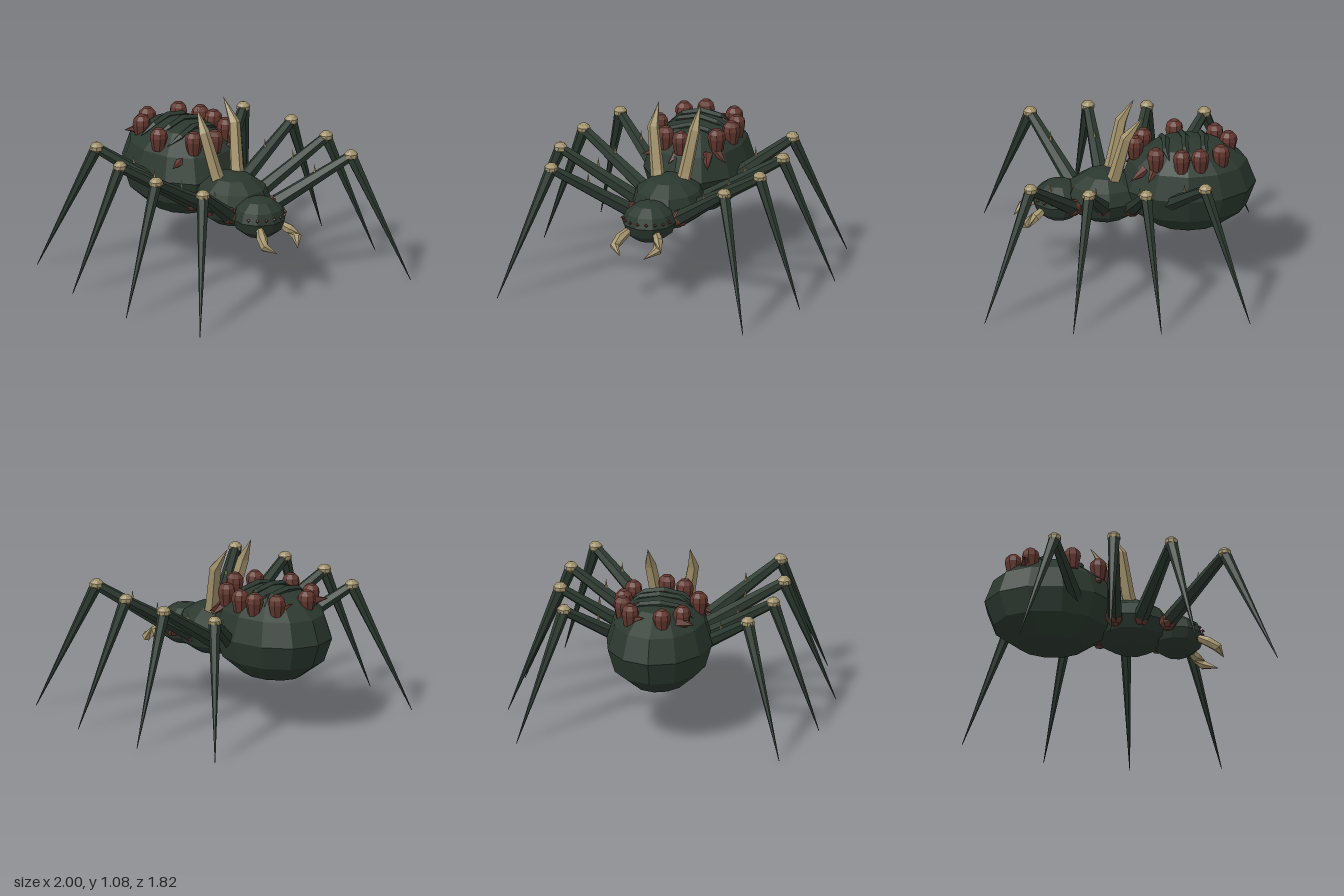
import * as THREE from 'three';

const mat = (name, color) => new THREE.MeshStandardMaterial({ name, color, flatShading: true });

export function createModel() {
  const root = new THREE.Group();
  root.name = 'spider';
  const green = mat('dark green hide', 0x2b382f);
  const red = mat('dull red growth', 0x62372f);
  const bone = mat('bone', 0xa3936c);
  const V = (a) => new THREE.Vector3(...a);

  const add = (parent, name, geo, material, pos = [0, 0, 0]) => {
    const m = new THREE.Mesh(geo, material);
    m.name = name;
    m.position.set(...pos);
    parent.add(m);
    return m;
  };

  // faceted limb: rings of given radius along a path of points
  const sweep = (pts, radii, sides = 6) => {
    const p = pts.map(V), pos = [], idx = [];
    p.forEach((c, i) => {
      const t = p[Math.min(i + 1, p.length - 1)].clone().sub(p[Math.max(i - 1, 0)]).normalize();
      const ref = Math.abs(t.z) > 0.9 ? new THREE.Vector3(1, 0, 0) : new THREE.Vector3(0, 0, 1);
      const u = ref.cross(t).normalize();
      const v = t.clone().cross(u);
      for (let j = 0; j < sides; j++) {
        const a = (j / sides) * Math.PI * 2;
        const q = c.clone().addScaledVector(u, radii[i] * Math.cos(a)).addScaledVector(v, radii[i] * Math.sin(a));
        pos.push(q.x, q.y, q.z);
        if (i < p.length - 1) {
          const k = i * sides + j, n = i * sides + (j + 1) % sides;
          idx.push(k, n, k + sides, n, n + sides, k + sides);
        }
      }
    });
    const g = new THREE.BufferGeometry();
    g.setAttribute('position', new THREE.Float32BufferAttribute(pos, 3));
    g.setIndex(idx);
    g.computeVertexNormals();
    return g;
  };

  // body: three squashed low-poly balls
  const ball = (name, pos, r, w, yaw) => {
    const m = add(root, name, new THREE.SphereGeometry(1, w, 6), green, pos);
    m.scale.set(...r);
    m.rotation.y = yaw;
  };
  const ab = { c: [0.05, 0.59, -0.435], r: [0.33, 0.3, 0.42] };
  ball('abdomen', ab.c, ab.r, 12, -0.11);
  ball('thorax', [0, 0.51, 0.07], [0.23, 0.165, 0.25], 10, 0);
  ball('head', [-0.045, 0.47, 0.35], [0.168, 0.128, 0.168], 10, 0.1);
  const topY = (x, z) => ab.c[1] + ab.r[1] * Math.sqrt(Math.max(0,
    1 - ((x - ab.c[0]) / ab.r[0]) ** 2 - ((z - ab.c[2]) / ab.r[2]) ** 2));

  // row of tiny eyes around the front of the head
  for (let i = 0; i < 8; i++) {
    const a = (i - 3.5) * 0.34;
    add(root, 'eye', new THREE.OctahedronGeometry(0.013), red,
      [-0.045 + 0.163 * Math.sin(a), 0.5, 0.35 + 0.163 * Math.cos(a)]);
  }

  // ridges across the back
  [[-0.54, 0.04], [-0.42, 0.05], [-0.3, 0.03]].forEach(([z, cx]) => {
    const pts = [-0.21, -0.12, 0, 0.12, 0.21].map((dx, i) => {
      const zz = z + [-0.02, 0.01, 0, 0.015, 0][i];
      return [cx + dx, topY(cx + dx, zz) - 0.005, zz];
    });
    add(root, 'backRidge', sweep(pts, [0, 0.022, 0.026, 0.022, 0], 5), green);
  });

  // ring of domed growths on the abdomen
  const sac = new THREE.LatheGeometry([[0, -0.075], [0.038, -0.07], [0.056, 0.015], [0.05, 0.045], [0.026, 0.07], [0, 0.074]]
    .map((p) => new THREE.Vector2(...p)), 8);
  [[0.02, -0.69], [-0.1, -0.62], [0.22, -0.62], [0.275, -0.485], [0.275, -0.37],
    [0.225, -0.215], [0.025, -0.11], [-0.09, -0.175], [-0.19, -0.38]].forEach(([x, z], i) => {
    add(root, 'backGrowth', sac, red, [x, 0.825, z]).rotation.y = i;
  });

  // small red spikes beside the growths
  [[[-0.14, 0.72, -0.22], [-0.25, 0.69, -0.2]], [[0.18, 0.74, -0.16], [0.21, 0.68, -0.06]],
    [[0.22, 0.76, -0.21], [0.3, 0.7, -0.16]], [[-0.08, 0.8, -0.64], [-0.18, 0.8, -0.69]],
    [[0.22, 0.8, -0.62], [0.13, 0.83, -0.67]], [[0.26, 0.8, -0.48], [0.17, 0.87, -0.5]],
    [[0, 0.74, -0.12], [-0.04, 0.7, -0.06]]].forEach(([a, b]) => {
    add(root, 'redSpike', sweep([a, b], [0.04, 0], 5), red);
  });

  // horns
  [[-1, -0.118, -0.12], [1, 0.14, -0.15]].forEach(([s, tx, tz]) => {
    add(root, 'horn', sweep([[s * 0.075, 0.58, 0.05], [s * 0.09, 0.68, 0.015], [s * 0.132, 0.94, -0.045],
      [tx, 1.08, tz]], [0.045, 0.044, 0.037, 0], 5), bone);
  });

  // mandibles, bent inward at the tip
  [[[-0.14, 0.44, 0.45], [-0.18, 0.405, 0.51], [-0.205, 0.365, 0.56], [-0.155, 0.325, 0.62]],
    [[0.03, 0.44, 0.45], [0.06, 0.405, 0.51], [0.07, 0.365, 0.565], [0, 0.325, 0.64]]].forEach((p) => {
    add(root, 'mandible', sweep(p, [0.022, 0.033, 0.03, 0], 6), bone);
  });

  // legs: hip, knee and foot
  const legs = [
    [[0.14, 0.49, 0.29], [0.508, 0.79, 0.596], [0.717, 0, 0.906]],
    [[0.17, 0.49, 0.1], [0.636, 0.79, 0.25], [0.93, 0, 0.382]],
    [[0.17, 0.48, -0.075], [0.682, 0.79, -0.1], [1, 0, -0.155]],
    [[0.2, 0.49, -0.25], [0.636, 0.79, -0.472], [0.914, 0, -0.715]],
    [[-0.2, 0.49, 0.24], [-0.64, 0.79, 0.457], [-0.914, 0, 0.708]],
    [[-0.18, 0.49, 0.065], [-0.685, 0.79, 0.094], [-1, 0, 0.15]],
    [[-0.17, 0.48, -0.1], [-0.64, 0.79, -0.265], [-0.93, 0, -0.388]],
    [[-0.13, 0.48, -0.29], [-0.505, 0.79, -0.605], [-0.717, 0, -0.909]],
  ];
  legs.forEach(([hip, knee, foot]) => {
    const leg = new THREE.Group();
    leg.name = 'leg';
    root.add(leg);
    add(leg, 'hipJoint', new THREE.SphereGeometry(0.055, 7, 5), red, hip);
    add(leg, 'upperLeg', sweep([hip, knee], [0.05, 0.032]), green);
    add(leg, 'lowerLeg', sweep([knee, foot], [0.038, 0.002]), green);
    add(leg, 'knee', new THREE.SphereGeometry(0.044, 8, 5), bone, [knee[0], 0.793, knee[2]]).scale.y = 0.82;
    const t = V(hip).lerp(V(knee), 0.53);
    add(leg, 'legThorn', sweep([[t.x, t.y + 0.03, t.z], [t.x, t.y + 0.1, t.z]], [0.011, 0], 4), bone);
  });

  return root;
}
